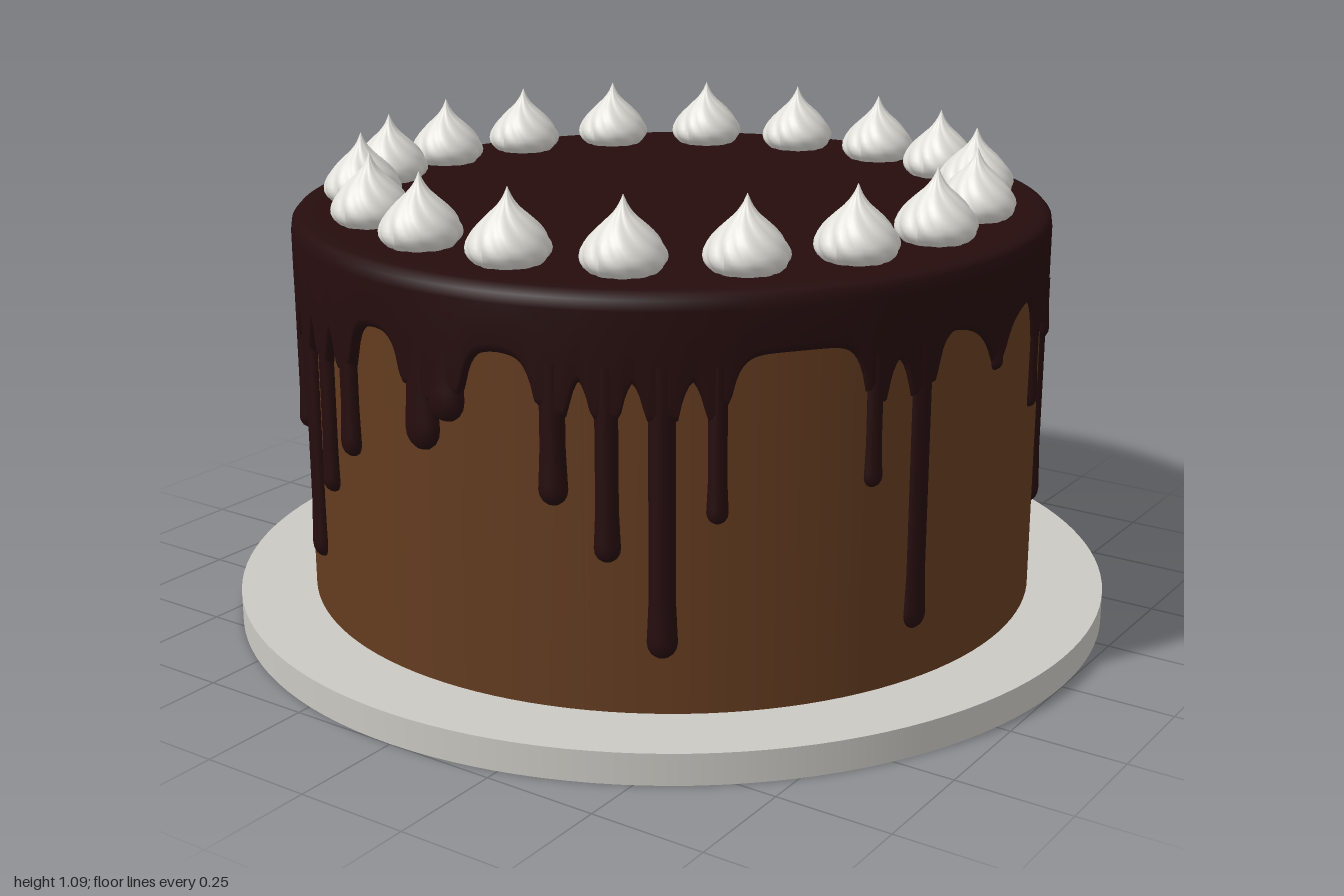
import * as THREE from 'three';

const mat = (name, color) => {
  const m = new THREE.MeshStandardMaterial({ color });
  m.name = name;
  return m;
};

// Icing ellipse, slightly wider than the sponge
const RX = 0.84, RZ = 0.858, TOP = 0.935;
const ringPoint = (a, inset) => [Math.sin(a) * (RX - inset), Math.cos(a) * (RZ - inset) - 0.004];

// Drips: [angle in degrees, tip height, half width, flare size]
const DRIPS = [
  [-2, 0.57, 0.042], [2.4, 0.64, 0.042], [18.6, 0.5, 0.03], [26, 0.39, 0.027],
  [33.4, 0.19, 0.031], [40.8, 0.47, 0.022], [63, 0.51, 0.022], [71, 0.18, 0.031],
  [87.3, 0.68, 0.02, 0.045], [102.2, 0.54, 0.022], [113.2, 0.65, 0.023], [120.2, 0.23, 0.034],
  [125.2, 0.44, 0.025], [135.9, 0.62, 0.024], [146.8, 0.5, 0.022], [153.3, 0.38, 0.024],
  [162.5, 0.59, 0.022], [171.8, 0.36, 0.026], [187.5, 0.48, 0.03], [190.5, 0.58, 0.03],
  [196.5, 0.67, 0.022], [205.5, 0.18, 0.03], [212.5, 0.51, 0.026], [223.7, 0.64, 0.028],
  [238.2, 0.3, 0.034], [256.3, 0.37, 0.025], [272, 0.64, 0.025], [284, 0.56, 0.025],
  [290.5, 0.42, 0.024], [297.2, 0.52, 0.022], [319.8, 0.47, 0.022], [327, 0.205, 0.031],
  [334.4, 0.39, 0.026], [341.7, 0.5, 0.029],
];

// Lower edge of the icing: arches between drips that flare down at each one
function edgeHeight(deg) {
  const near = DRIPS.map(([a, , w, f = 0.018]) => {
    const d = ((deg - a + 540) % 360) - 180;
    return { d, gap: Math.max(0, Math.abs(d) * 0.0148 - w), f };
  });
  const left = Math.min(...near.filter(n => n.d >= 0).map(n => n.d));
  const right = Math.min(...near.filter(n => n.d < 0).map(n => -n.d));
  const arch = 0.765 + 0.045 * Math.min(1, (left + right) / 20);
  const pull = Math.max(...near.map(n => Math.exp(-n.gap / n.f)));
  return arch - 0.1 * pull;
}

function icingGeometry() {
  const N = 720, pos = [], idx = [];
  for (let i = 0; i < N; i++) {
    const deg = (i / N) * 360, a = THREE.MathUtils.degToRad(deg), e = edgeHeight(deg);
    const rings = [
      [0.8, TOP], [0.05, TOP], [0.03, TOP], [0.012, TOP - 0.004], [0.003, TOP - 0.014],
      [0, TOP - 0.035], [0, (TOP + e) / 2], [0, e + 0.018], [0.004, e + 0.006], [0.012, e], [0.035, e],
    ];
    for (const [inset, y] of rings) {
      const [x, z] = ringPoint(a, inset);
      pos.push(x, y, z);
    }
  }
  const M = pos.length / 3 / N;
  for (let i = 0; i < N; i++) {
    for (let j = 0; j < M - 1; j++) {
      const a = i * M + j, d = ((i + 1) % N) * M + j;
      idx.push(a, a + 1, d, a + 1, d + 1, d);
    }
  }
  // Close the middle of the top
  const c = pos.length / 3;
  pos.push(0, TOP, 0);
  for (let i = 0; i < N; i++) idx.push(c, i * M, ((i + 1) % N) * M);
  const g = new THREE.BufferGeometry();
  g.setAttribute('position', new THREE.Float32BufferAttribute(pos, 3));
  g.setIndex(idx);
  g.computeVertexNormals();
  return g;
}

// A drip with a narrow stem and a rounded, heavier tip
function dripGeometry(len, w) {
  const stem = Math.min(len * 0.6, w * 4);
  const pts = [[0, 0], [0.4, 0.09], [0.72, 0.32], [0.93, 0.68], [1, 1.1], [0.97, 1.6]]
    .map(([r, y]) => new THREE.Vector2(r * w, y * w));
  if (stem > w * 1.7) pts.push(new THREE.Vector2(w * 0.86, stem));
  pts.push(new THREE.Vector2(w * 0.86, Math.max(len, w * 2)));
  return new THREE.LatheGeometry(pts, 20);
}

// Piped kiss: a teardrop profile with twisted ridges
function kissGeometry() {
  const profile = new THREE.SplineCurve([
    [0.06, 0], [0.082, 0.02], [0.086, 0.042], [0.072, 0.07], [0.047, 0.097],
    [0.024, 0.118], [0.01, 0.137], [0.0005, 0.158],
  ].map(p => new THREE.Vector2(...p)));
  const g = new THREE.LatheGeometry(profile.getPoints(16), 60);
  const p = g.attributes.position;
  for (let i = 0; i < p.count; i++) {
    const x = p.getX(i), y = p.getY(i), z = p.getZ(i);
    const k = 0.96 + 0.07 * Math.abs(Math.cos(5 * (Math.atan2(x, z) + y * 9))) - 0.02;
    p.setXYZ(i, x * k, y, z * k);
  }
  g.computeVertexNormals();
  return g;
}

export function createModel() {
  const model = new THREE.Group();
  model.name = 'cake';
  const plateMat = mat('plate grey', 0xcbc9c3);
  const spongeMat = mat('milk chocolate', 0x643c20);
  const icingMat = mat('dark chocolate', 0x260d0e);
  const creamMat = mat('cream', 0xe0ded8);

  const add = (parent, name, geometry, material, x = 0, y = 0, z = 0) => {
    const mesh = new THREE.Mesh(geometry, material);
    mesh.name = name;
    mesh.position.set(x, y, z);
    parent.add(mesh);
    return mesh;
  };

  add(model, 'plate', new THREE.CylinderGeometry(1, 1, 0.068, 128), plateMat, 0, 0.034);
  add(model, 'sponge', new THREE.CylinderGeometry(0.83, 0.83, 0.83, 128), spongeMat, 0, 0.483);
  add(model, 'icing', icingGeometry(), icingMat);

  // Drips, flattened against the side
  const drips = new THREE.Group();
  drips.name = 'drips';
  model.add(drips);
  for (const [deg, tip, w] of DRIPS) {
    const a = THREE.MathUtils.degToRad(deg);
    const [x, z] = ringPoint(a, 0.018);
    const drip = add(drips, 'drip', dripGeometry(0.79 - tip, w), icingMat, x, tip, z);
    drip.rotation.y = a;
    drip.scale.z = 0.023 / w;
  }

  // Ring of piped kisses
  const kisses = new THREE.Group();
  kisses.name = 'creamKisses';
  model.add(kisses);
  const kiss = kissGeometry();
  for (let i = 0; i < 18; i++) {
    const a = THREE.MathUtils.degToRad(3.3 + i * 20);
    add(kisses, 'creamKiss', kiss, creamMat, 0.69 * Math.cos(a) - 0.01, TOP - 0.006, 0.69 * Math.sin(a) - 0.01);
  }
  return model;
}
